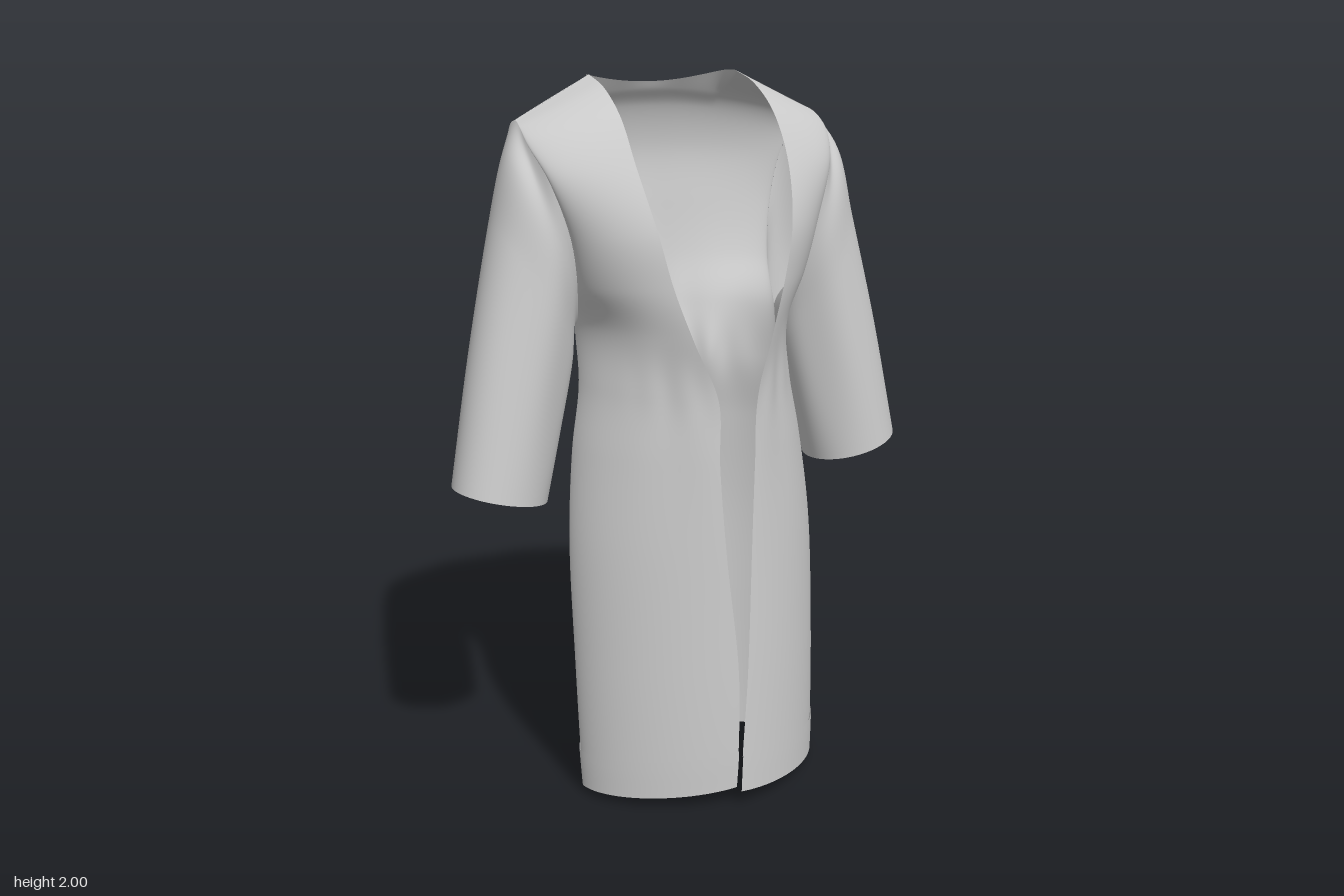
import * as THREE from 'three';

// Height rows from hem to shoulder:
// front y, side y, back y, left edge x, right edge x, edge z, front side x, z, back side x, z, back centre z
const ROWS = [
  [0.05, 0.02, 0.0, 0.0, 0.0, 0.33, 0.362, 0.05, 0.362, 0.05, -0.21],
  [0.155, 0.125, 0.1, 0.005, -0.005, 0.328, 0.367, 0.045, 0.367, 0.045, -0.217],
  [0.4, 0.4, 0.4, 0.025, -0.005, 0.317, 0.372, 0.03, 0.372, 0.03, -0.235],
  [0.75, 0.75, 0.75, 0.045, 0.03, 0.295, 0.37, 0, 0.37, 0, -0.246],
  [1.0, 1.0, 1.0, 0.06, 0.045, 0.278, 0.345, -0.03, 0.345, -0.03, -0.228],
  [1.17, 1.18, 1.18, 0.07, 0.045, 0.268, 0.314, -0.05, 0.314, -0.05, -0.208],
  [1.34, 1.34, 1.34, 0.125, 0.11, 0.25, 0.31, -0.08, 0.31, -0.08, -0.255],
  [1.48, 1.46, 1.47, 0.175, 0.155, 0.225, 0.336, 0.01, 0.34, -0.18, -0.292],
  [1.62, 1.6, 1.62, 0.21, 0.185, 0.196, 0.367, 0.045, 0.37, -0.228, -0.318],
  [1.78, 1.75, 1.78, 0.235, 0.21, 0.12, 0.418, 0.03, 0.405, -0.235, -0.333],
  [1.9, 1.835, 1.9, 0.235, 0.215, 0.035, 0.447, -0.04, 0.437, -0.21, -0.305],
  [1.97, 1.875, 1.95, 0.228, 0.218, -0.065, 0.447, -0.095, 0.444, -0.178, -0.27],
  [2.0, 1.89, 1.97, 0.22, 0.22, -0.165, 0.443, -0.14, 0.443, -0.14, -0.245],
];
const UNDERARM = 6, TOP = ROWS.length - 1, NECK = 0.22;
const HEM = 1 / TOP;
const lerp = THREE.MathUtils.lerp;

const material = new THREE.MeshStandardMaterial({ color: 0xcccccc, side: THREE.DoubleSide });

// Surface mesh through a grid of points: fn(u) gives a column, column(v) a point
function sheet(name, fn, nu, nv) {
  const pos = [], index = [];
  for (let i = 0; i <= nu; i++) {
    const column = fn(i / nu);
    for (let j = 0; j <= nv; j++) pos.push(...column(j / nv).toArray());
  }
  for (let i = 0; i < nu; i++) for (let j = 0; j < nv; j++) {
    const a = i * (nv + 1) + j, b = a + nv + 1;
    index.push(a, b, a + 1, b, b + 1, a + 1);
  }
  const geo = new THREE.BufferGeometry();
  geo.setAttribute('position', new THREE.Float32BufferAttribute(pos, 3));
  geo.setIndex(index);
  geo.computeVertexNormals();
  const mesh = new THREE.Mesh(geo, material);
  mesh.name = name;
  return mesh;
}

// Gathers around the waist, fading out at the side seams
function gather(p) {
  const r2 = p.x * p.x + p.z * p.z;
  const a = Math.atan2(Math.abs(p.x), Math.abs(p.z));
  const fade = (p.z * p.z) / r2 * (p.z < 0 ? 1 : 0.3);
  const wide = Math.exp(-(((p.y - 1.2) / 0.27) ** 2));
  const tight = Math.exp(-(((p.y - 1.2) / 0.07) ** 2));
  const d = -fade * (0.05 * wide * Math.cos(9 * a) + 0.045 * tight * Math.cos(18 * a));
  p.x *= 1 + d * 0.4;
  p.z *= 1 + d;
  return p;
}

// Front panel key point: s runs from the opening edge to the side
function frontPoint(row, s, side) {
  const [yF, yS, , xl, xr, ze, xa, za] = row;
  const u0 = (side > 0 ? xl : xr) / xa;
  const u = Math.sin(lerp(Math.asin(u0), Math.PI / 2, s));
  const bow = w => Math.pow(Math.max(0, 1 - Math.abs(w) ** 1.65), 0.6);
  const k = bow(u) / bow(u0);
  const under = side > 0 ? 0 : -0.03 * (1 - s) * Math.max(0, 1 - yF / 0.9);
  return new THREE.Vector3(side * u * xa, lerp(yF, yS, (u - u0) / (1 - u0)), za + (ze - za) * k + under);
}

// Back panel key point: s runs from -1 (right side) to 1 (left side)
function backPoint(row, s) {
  const [, yS, yB, , , , , , xa, za, zb] = row;
  const u = Math.sin(Math.abs(s) * Math.PI / 2), x = u * xa;
  let y = lerp(yB, yS, u * u);
  let z = za + (zb - za) * Math.pow(Math.max(0, 1 - u ** 2.3), 0.8);
  if (row === ROWS[TOP]) { // neckline, then shoulder seam
    const n = Math.min(1, x / NECK), t = Math.max(0, (x - NECK) / (xa - NECK));
    y = t > 0 ? lerp(2.0, yS, t) : lerp(yB, 2.0, n * n);
    z = t > 0 ? lerp(-0.165, za, t) : -0.165 - 0.08 * Math.pow(1 - n ** 3, 1 / 3);
  } else if (yB > 1.3) z += 0.014 * Math.exp(-((x / 0.1) ** 2)); // hollow along the spine
  return new THREE.Vector3(Math.sign(s) * x, y, z);
}

// Vertical column of cloth through the rows, between v0 and v1
const column = (point, v0, v1, outset = 1) => {
  const curve = new THREE.CatmullRomCurve3(ROWS.map(point));
  return v => {
    const p = gather(curve.getPoint(lerp(v0, v1, v)));
    p.x *= outset;
    p.z *= outset;
    return p;
  };
};

// Sleeve lofted from the armhole to the cuff; the right one swings further forward
function sleeve(name, side) {
  const loop = [];
  for (let i = UNDERARM; i <= TOP; i++) loop.push(frontPoint(ROWS[i], 1, 1));
  for (let i = TOP - 1; i > UNDERARM; i--) loop.push(backPoint(ROWS[i], 1));
  const armhole = new THREE.CatmullRomCurve3(loop, true);
  const swing = side > 0 ? 0 : 1;
  // centre x, y, z; half-axis x, y, z; depth radius
  const rings = [
    [0.409, 1.555, -0.092, 0.086, 0.24, 0, 0.139],
    [0.437, 1.43, -0.088 + swing * 0.007, 0.104, 0.19, 0, 0.138],
    [0.5, 1.17, -0.074 + swing * 0.02, 0.123, 0.115, swing * 0.01, 0.136 - swing * 0.006],
    [0.559, 0.907, -0.064 + swing * 0.036, 0.136, 0.035, swing * 0.02, 0.138 - swing * 0.012],
  ];
  return sheet(name, t => {
    const a = t * Math.PI * 2, c = -Math.cos(a), s = Math.sin(a);
    const keys = [armhole.getPoint(t % 1)];
    for (const [x, y, z, hx, hy, hz, rz] of rings) {
      keys.push(new THREE.Vector3(x + c * hx, y + c * hy, z + c * hz + s * rz));
    }
    const curve = new THREE.CatmullRomCurve3(keys);
    return v => {
      const p = curve.getPoint(v);
      // soft folds below the underarm
      p.z += 0.006 * Math.sin(v * Math.PI) * Math.sin(a * 5) * (1 - c) / 2;
      p.x *= side;
      return p;
    };
  }, 64, 40);
}

export function createModel() {
  const robe = new THREE.Group();
  robe.name = 'robe';

  // Back panel and its hem band
  const back = (v0, v1, o) => u => column(r => backPoint(r, u * 2 - 1), v0, v1, o);
  robe.add(sheet('backPanel', back(HEM, 1), 120, 120));
  robe.add(sheet('backHem', back(0, HEM * 1.03, 1.01), 120, 6));

  // Front panels, hem bands and sleeves on each side
  for (const [label, side] of [['left', 1], ['right', -1]]) {
    const front = (v0, v1, o) => u => column(r => frontPoint(r, u, side), v0, v1, o);
    robe.add(sheet(label + 'FrontPanel', front(HEM, 1), 48, 120));
    robe.add(sheet(label + 'FrontHem', front(0, HEM * 1.03, 1.01), 48, 6));
    robe.add(sleeve(label + 'Sleeve', side));
  }
  return robe;
}
